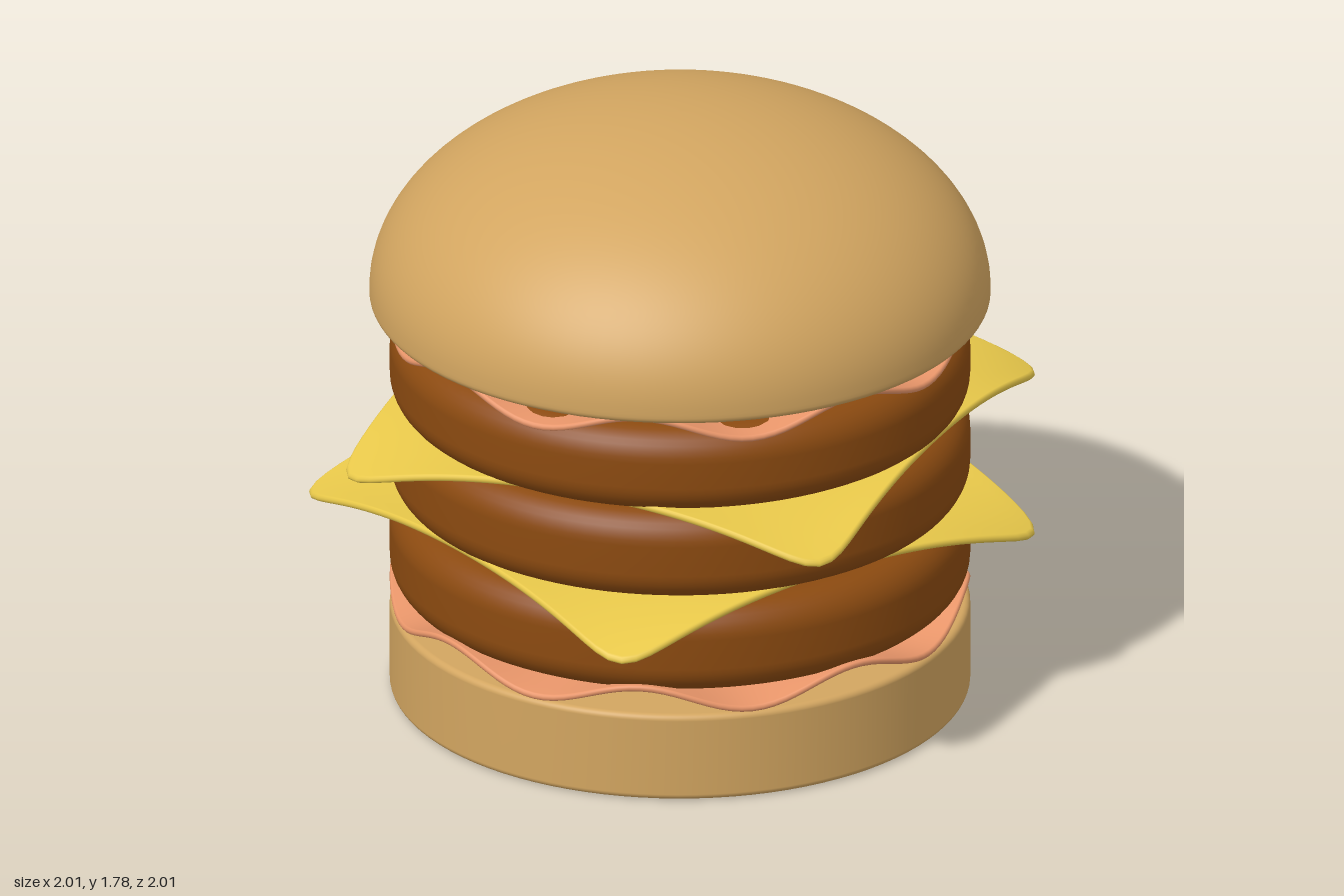
import * as THREE from 'three';
import { mergeVertices } from 'three/addons/utils/BufferGeometryUtils.js';

const BUN = 0xd2a560, PATTY = 0x8b4a10, CHEESE = 0xe8c84a, HAM = 0xe9966a;
const CX = -0.01, CZ = 0.03;

function part(name, geometry, color, x, y, z) {
  const mesh = new THREE.Mesh(geometry, new THREE.MeshStandardMaterial({ color }));
  mesh.name = name;
  mesh.position.set(x, y, z);
  return mesh;
}

// Points of a quarter-ellipse arc around (cx, cy)
function arc(cx, cy, rx, ry, from, to, steps) {
  return Array.from({ length: steps + 1 }, (_, i) => {
    const a = from + (to - from) * i / steps;
    return new THREE.Vector2(cx + rx * Math.cos(a), cy + ry * Math.sin(a));
  });
}

// Disc with rounded rims, standing on its own y = 0
function roundedDisc(radius, height, round) {
  const c = radius - round, q = Math.PI / 2;
  return new THREE.LatheGeometry([
    new THREE.Vector2(0, 0), new THREE.Vector2(c - 0.02, 0),
    ...arc(c, round, round, round, -q, 0, 8),
    ...arc(c, height - round, round, round, 0, q, 8),
    new THREE.Vector2(c - 0.02, height), new THREE.Vector2(0, height),
  ], 96);
}

// Thin slice: a lathed disc whose rim follows outline(angle) and whose height follows lift(radius, angle)
function slice(thickness, outline, lift) {
  const rings = 20, h = thickness / 2, profile = [];
  for (let i = 0; i < rings; i++) profile.push(new THREE.Vector2(i / rings * (1 - h), -h));
  profile.push(...arc(1 - h, 0, h, h, -Math.PI / 2, Math.PI / 2, 6));
  for (let i = rings - 1; i >= 0; i--) profile.push(new THREE.Vector2(i / rings * (1 - h), h));
  let geometry = new THREE.LatheGeometry(profile, 160);
  const p = geometry.attributes.position;
  for (let i = 0; i < p.count; i++) {
    const x = p.getX(i), z = p.getZ(i), a = Math.atan2(x, z);
    const r = Math.hypot(x, z) * outline(a);
    p.setXYZ(i, r * Math.sin(a), p.getY(i) + lift(r, a), r * Math.cos(a));
  }
  geometry.deleteAttribute('normal');
  geometry.deleteAttribute('uv');
  geometry = mergeVertices(geometry, 1e-5);
  geometry.computeVertexNormals();
  return geometry;
}

export function createModel() {
  const group = new THREE.Group();
  group.name = 'burger';

  // Buns
  group.add(part('bottomBun', roundedDisc(0.827, 0.265, 0.018), BUN, CX, 0, CZ));
  const dome = new THREE.LatheGeometry([
    new THREE.Vector2(0, 0), new THREE.Vector2(0.84, 0),
    ...arc(0.865, 0.02, 0.02, 0.02, -Math.PI / 2, 0, 5),
    ...arc(0, 0.03, 0.885, 0.55, 0, Math.PI / 2, 40),
  ], 96);
  group.add(part('topBun', dome, BUN, CX, 1.2, CZ));

  // Patties: base height and thickness
  [[0.318, 0.27], [0.61, 0.27], [0.883, 0.257]].forEach(([y, height], i) =>
    group.add(part(`patty${i + 1}`, roundedDisc(0.827, height, 0.09), PATTY, CX, y, CZ)));

  // Wavy ham slices with eight ripples growing towards the rim
  const ham = slice(0.02, () => 0.827, (r, a) =>
    Math.pow(r / 0.827, 3) * (0.025 + 0.036 * Math.cos(8 * a)));
  group.add(part('bottomHam', ham, HAM, CX, 0.285, CZ));
  group.add(part('topHam', ham, HAM, CX, 1.13, CZ));

  // Square cheese slices with rounded, drooping corners
  const n = 14;
  const cheese = slice(0.022,
    (a) => 0.775 / Math.pow(Math.abs(Math.cos(a)) ** n + Math.abs(Math.sin(a)) ** n, 1 / n),
    (r, a) => Math.pow(r, 5) * (-0.009 + 0.063 * Math.cos(4 * a)));
  group.add(part('lowerCheese', cheese, CHEESE, -0.035, 0.608, 0.04));
  const upper = part('upperCheese', cheese, CHEESE, 0, 0.888, 0);
  upper.rotation.y = 0.5;
  group.add(upper);

  return group;
}
